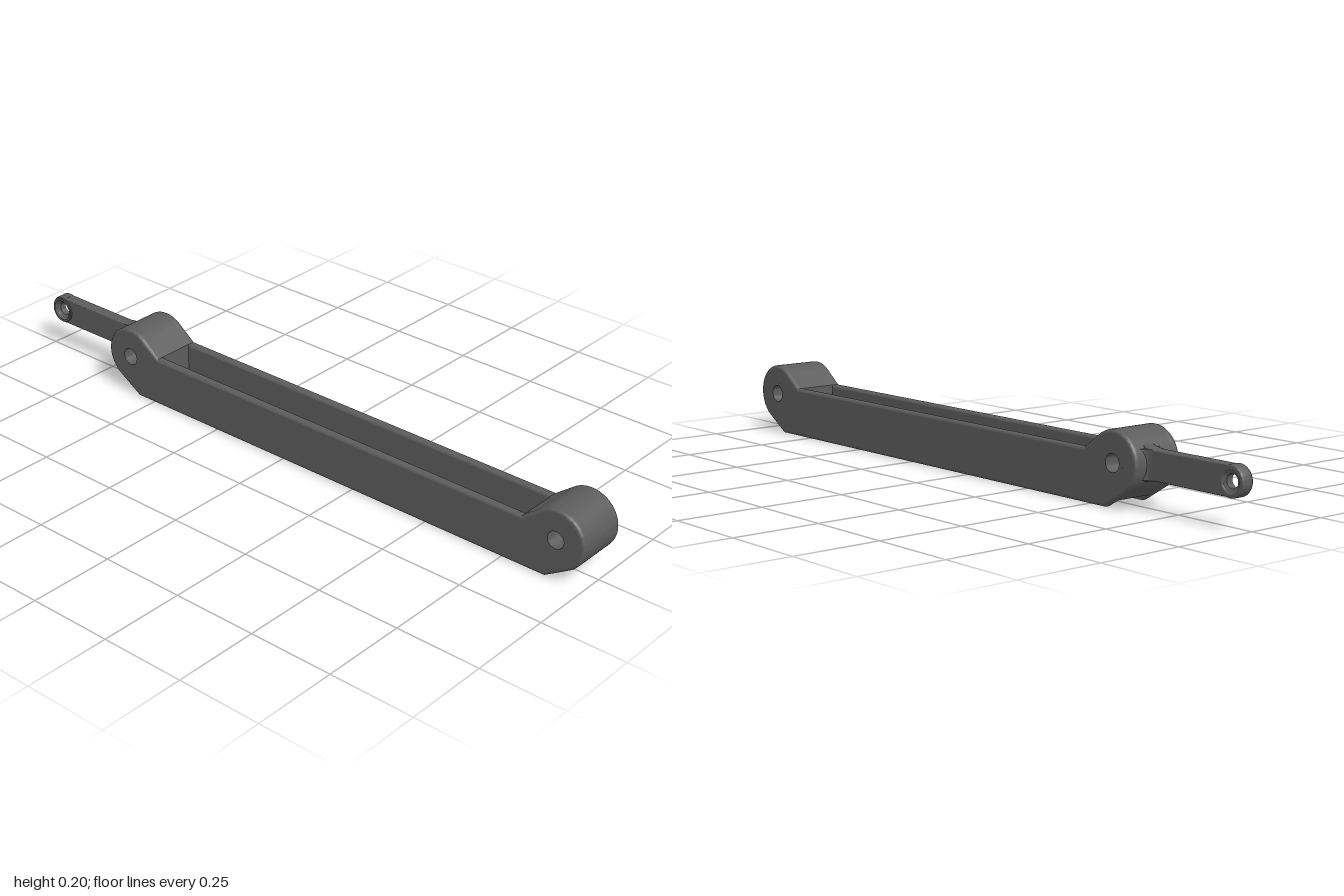
import * as THREE from 'three';
import { toCreasedNormals } from 'three/addons/utils/BufferGeometryUtils.js';

const MID = 0.163;                      // the arm is symmetric about this x
const BOSS = { dx: 0.751, y: 0.119, r: 0.086, hole: 0.025 };
const HALF = 0.078, INNER = 0.052, BEVEL = 0.008;

const material = new THREE.MeshStandardMaterial({ color: 0x5c5c5c });

// Smooth the curves, but keep faces square to an axis truly flat
function part(name, geometry) {
  const geo = toCreasedNormals(geometry, 0.5);
  const { position, normal } = geo.attributes;
  const [a, b, c] = [0, 1, 2].map(() => new THREE.Vector3());
  const n = new THREE.Vector3();
  for (let i = 0; i < position.count; i += 3) {
    [a, b, c].forEach((v, k) => v.fromBufferAttribute(position, i + k));
    THREE.Triangle.getNormal(a, b, c, n);
    if (Math.max(Math.abs(n.x), Math.abs(n.y), Math.abs(n.z)) < 0.99999) continue;
    for (let k = 0; k < 3; k++) normal.setXYZ(i + k, n.x, n.y, n.z);
  }
  const mesh = new THREE.Mesh(geo, material);
  mesh.name = name;
  return mesh;
}

// Extrude between two z planes, keeping the outline size when bevelled
function slab(shape, z0, z1, bevel = 0) {
  const geo = new THREE.ExtrudeGeometry(shape, {
    depth: z1 - z0 - 2 * bevel, curveSegments: 40, bevelEnabled: bevel > 0,
    bevelThickness: bevel, bevelSize: bevel, bevelOffset: -bevel, bevelSegments: 4,
  });
  return geo.translate(0, 0, z0 + bevel);
}

function circle(x, y, r) {
  return new THREE.Path().absarc(x, y, r, 0, Math.PI * 2, true);
}

// Angle at which the tangent from a point (relative to the boss) meets its circle
function tangent(x, y, side) {
  return Math.atan2(y, x) + side * Math.acos(BOSS.r / Math.hypot(x, y));
}

// Right half of the outline, mirrored to the left
function armShape(bottomY, floorY, holeR) {
  const foot = 0.722, shoulder = 0.643, top = 0.145;
  const a0 = tangent(foot - BOSS.dx, -BOSS.y, 1);
  const a1 = tangent(shoulder - BOSS.dx, top - BOSS.y, -1);
  const at = (a) => [BOSS.dx + BOSS.r * Math.cos(a), BOSS.y + BOSS.r * Math.sin(a)];
  const [tx, ty] = at(a0);
  const half = [[foot + (tx - foot) * bottomY / ty, bottomY]];
  for (let i = 0; i <= 40; i++) half.push(at(a0 + (a1 - a0) * i / 40));
  half.push([shoulder, top]);
  if (floorY < top) half.push([shoulder, floorY + 0.01], [shoulder - 0.003, floorY + 0.003], [shoulder - 0.01, floorY]);
  const points = [
    ...half.map(([x, y]) => new THREE.Vector2(MID + x, y)),
    ...half.slice().reverse().map(([x, y]) => new THREE.Vector2(MID - x, y)),
  ];
  const shape = new THREE.Shape(points);
  for (const s of [-1, 1]) shape.holes.push(circle(MID + s * BOSS.dx, BOSS.y, holeR));
  return shape;
}

// Concave fillet strip along x, filling the corner at (y, z)
function fillet(name, y, z, dy, dz, halfLength) {
  const shape = new THREE.Shape();
  shape.moveTo(-z, y);
  shape.lineTo(-z - dz, y);
  shape.quadraticCurveTo(-z, y, -z, y + dy);
  shape.closePath();
  const strip = part(name, slab(shape, -halfLength, halfLength).rotateY(Math.PI / 2));
  strip.position.x = MID;
  strip.scale.z = -1;
  return strip;
}

// Ring around the z axis from a closed (radius, z) profile
function ring(profile) {
  const points = [...profile, profile[0]].map(([r, z]) => new THREE.Vector2(r, z));
  return new THREE.LatheGeometry(points, 48).rotateX(Math.PI / 2);
}

export function createModel() {
  const model = new THREE.Group();
  model.name = 'linkArm';

  // Side plates with rounded rims
  const plate = armShape(0, 1, 0.03);
  model.add(part('frontPlate', slab(plate, INNER, HALF, BEVEL)));
  model.add(part('backPlate', slab(plate, -HALF, -INNER, BEVEL)));

  // Core: solid end bosses joined by the floor of the pocket
  const core = HALF - BEVEL;
  model.add(part('core', slab(armShape(0.02, 0.045, 0.03), -core, core)));

  // Fillets in the underside channel and along the pocket floor
  for (const s of [-1, 1]) {
    model.add(fillet('channelFillet', 0.02, s * INNER, -0.008, -s * 0.008, 0.735));
    model.add(fillet('pocketFillet', 0.045, s * INNER, 0.01, -s * 0.01, 0.643));
  }

  // Straight-edged linings of the pivot holes
  for (const s of [-1, 1]) {
    const lining = part(s > 0 ? 'leftPivotBore' : 'rightPivotBore',
      ring([[BOSS.hole, -HALF], [0.038, -HALF], [0.038, HALF], [BOSS.hole, HALF]]));
    lining.position.set(MID + s * BOSS.dx, BOSS.y, 0);
    model.add(lining);
  }

  // Thin rod with a rounded eye, flaring into the boss
  const ex = -0.958, ey = 0.122, er = 0.042, z0 = -0.036, z1 = 0;
  const rod = new THREE.Shape();
  rod.moveTo(-0.64, ey + 0.058);
  rod.quadraticCurveTo(-0.668, ey + 0.04, -0.705, ey + 0.04);
  rod.lineTo(ex + 0.012, ey + 0.04);
  rod.absarc(ex, ey, er, Math.PI * 0.41, Math.PI * 1.59, false);
  rod.lineTo(-0.705, ey - 0.04);
  rod.quadraticCurveTo(-0.668, ey - 0.04, -0.64, ey - 0.058);
  rod.closePath();
  rod.holes.push(circle(ex, ey, 0.028));
  model.add(part('rod', slab(rod, z0, z1, 0.004)));

  // Dished seat inside the eye, slightly proud at the front
  const zm = (z0 + z1) / 2, h = (z1 - z0) / 2;
  const seat = part('eyeSeat', ring([[0.019, -h * 0.55], [0.031, -h * 0.95], [0.034, -h * 0.95],
    [0.039, 0], [0.039, h + 0.002], [0.037, h + 0.004], [0.031, h + 0.004], [0.019, h * 0.55]]));
  seat.position.set(ex, ey, zm);
  model.add(seat);

  // Cove widening the rod in depth where it meets the boss
  const cove = new THREE.Shape();
  cove.moveTo(-0.69, -h);
  cove.quadraticCurveTo(-0.668, -h, -0.664, -h - 0.016);
  cove.lineTo(-0.64, -h - 0.016);
  cove.lineTo(-0.64, h + 0.016);
  cove.lineTo(-0.664, h + 0.016);
  cove.quadraticCurveTo(-0.668, h, -0.69, h);
  cove.closePath();
  const root = part('rodRoot', slab(cove, -0.04, 0.04).rotateX(Math.PI / 2));
  root.position.set(0, ey, zm);
  model.add(root);

  return model;
}
